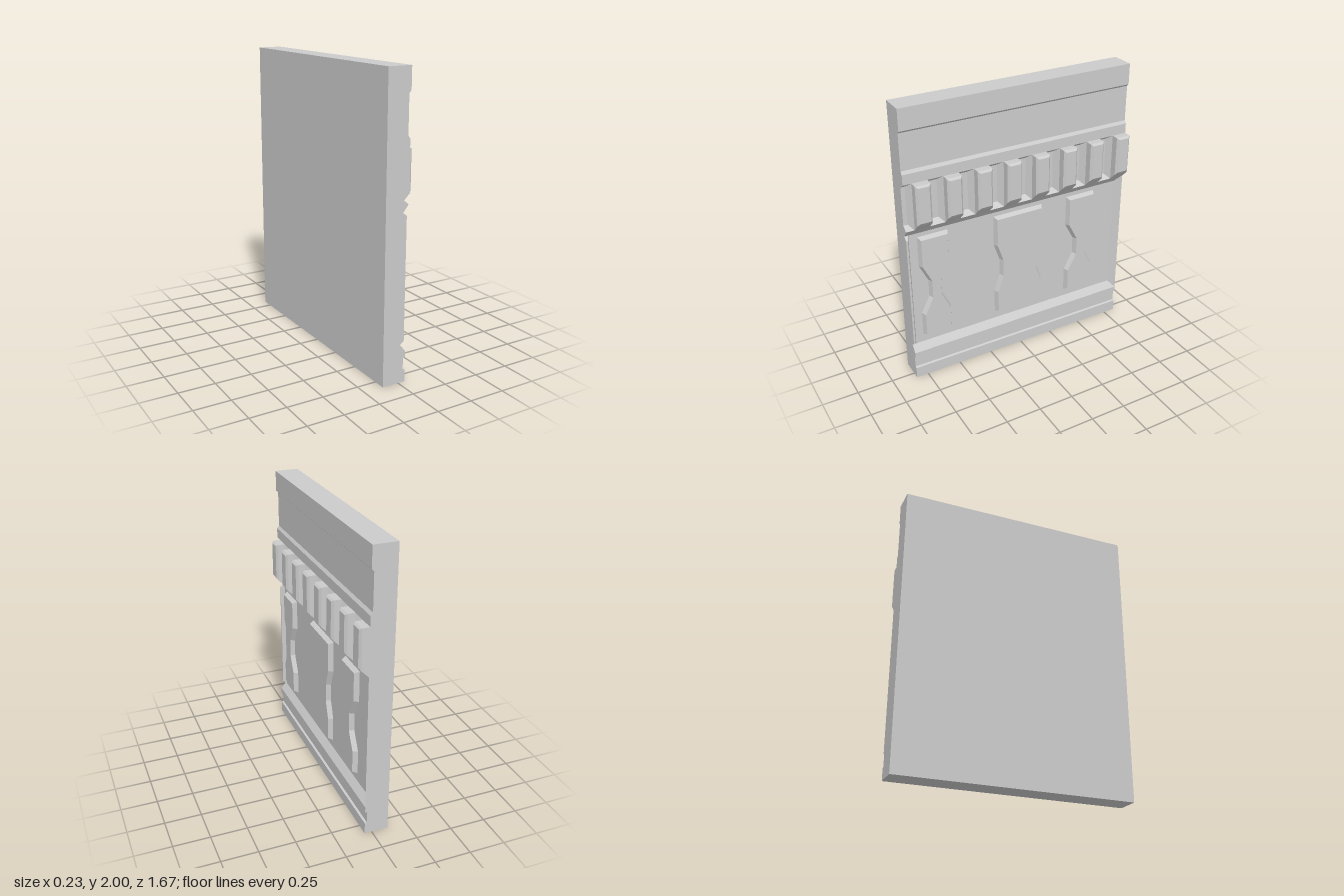
import * as THREE from 'three';
import { ConvexGeometry } from 'three/addons/geometries/ConvexGeometry.js';

const material = new THREE.MeshStandardMaterial({ color: 0xcccccc, flatShading: true });
const HALF = 0.835;   // half length along z
const FLOOR = 0.01;   // depth of the recessed panel and pits
const FACE = 0.05;    // main face of the slab

const shapeOf = (pts) => new THREE.Shape(pts.map(([x, y]) => new THREE.Vector2(x, y)));

function add(group, name, geometry) {
  const mesh = new THREE.Mesh(geometry, material);
  mesh.name = name;
  group.add(mesh);
  return mesh;
}

// Convex solid from rectangular sections [x, zMin, zMax, yMin, yMax]
function stackedBlock(sections) {
  const pts = [];
  for (const [x, z0, z1, y0, y1] of sections)
    for (const z of [z0, z1]) for (const y of [y0, y1])
      pts.push(new THREE.Vector3(x, y, Math.max(-HALF, Math.min(HALF, z))));
  return new ConvexGeometry(pts);
}

// Raised panel with a waist and bevelled rim, facing +x
function waistedPanel(half, waist) {
  const side = [[half, 0.32], [half, 0.495], [waist, 0.62], [waist, 0.745], [half, 0.87], [half, 1.09]];
  const outline = [...side, ...side.map(([z, y]) => [-z, y]).reverse()];
  const geo = new THREE.ExtrudeGeometry(shapeOf(outline), {
    depth: 0.03, bevelEnabled: true, bevelSegments: 1,
    bevelThickness: 0.033, bevelSize: 0.015, bevelOffset: -0.015,
  });
  return geo.rotateY(Math.PI / 2).translate(FLOOR - 0.03, 0, 0);
}

export function createModel() {
  const model = new THREE.Group();
  model.name = 'wallPanel';

  // Slab with all horizontal mouldings in one profile
  const profile = [
    [-0.115, 0], [FACE, 0], [FACE, 0.08], [0.035, 0.085], [0.035, 0.165], [FACE, 0.17],
    [FACE, 0.21], [FLOOR, 0.26], [FLOOR, 1.12], [FACE, 1.17],
    [FLOOR, 1.2], [FLOOR, 1.47], [FACE, 1.5],
    [FACE, 1.57], [0.035, 1.59], [0.035, 1.84], [FACE, 1.855], [FACE, 2], [-0.115, 2],
  ];
  const slab = new THREE.ExtrudeGeometry(shapeOf(profile), { depth: 2 * HALF, bevelEnabled: false });
  add(model, 'slab', slab.translate(0, 0, -HALF));

  // Row of dentils standing on splayed piers, leaving pits between them
  for (let i = 0; i < 8; i++) {
    const z = -0.782 + i * 0.215;
    const dentil = new THREE.Group();
    dentil.name = 'dentil' + (i + 1);
    add(dentil, 'pier', stackedBlock([
      [FLOOR, z - 0.083, z + 0.083, 1.17, 1.5],
      [FACE, z - 0.053, z + 0.053, 1.17, 1.5],
    ]));
    add(dentil, 'tooth', stackedBlock([
      [FACE, z - 0.053, z + 0.053, 1.17, 1.5],
      [0.1, z - 0.053, z + 0.053, 1.22, 1.5],
      [0.115, z - 0.038, z + 0.038, 1.24, 1.488],
    ]));
    model.add(dentil);
  }

  // Waisted raised panels: [z centre, half width, half waist]
  for (const [z, half, waist] of [[0.642, 0.108, 0.047], [0.005, 0.188, 0.146], [-0.5, 0.114, 0.048]])
    add(model, 'raisedPanel', waistedPanel(half, waist)).position.z = z;

  // Sloped border closing the recess at the back end
  add(model, 'endBevel', stackedBlock([
    [FLOOR, -HALF, -0.79, 0.21, 1.17],
    [FACE, -HALF, -HALF, 0.21, 1.17],
  ]));

  // Narrow raised strip at the front end
  add(model, 'endStrip', stackedBlock([
    [FLOOR, 0.807, HALF, 0.26, 1.12],
    [0.038, 0.822, HALF, 0.28, 1.1],
  ]));

  return model;
}
